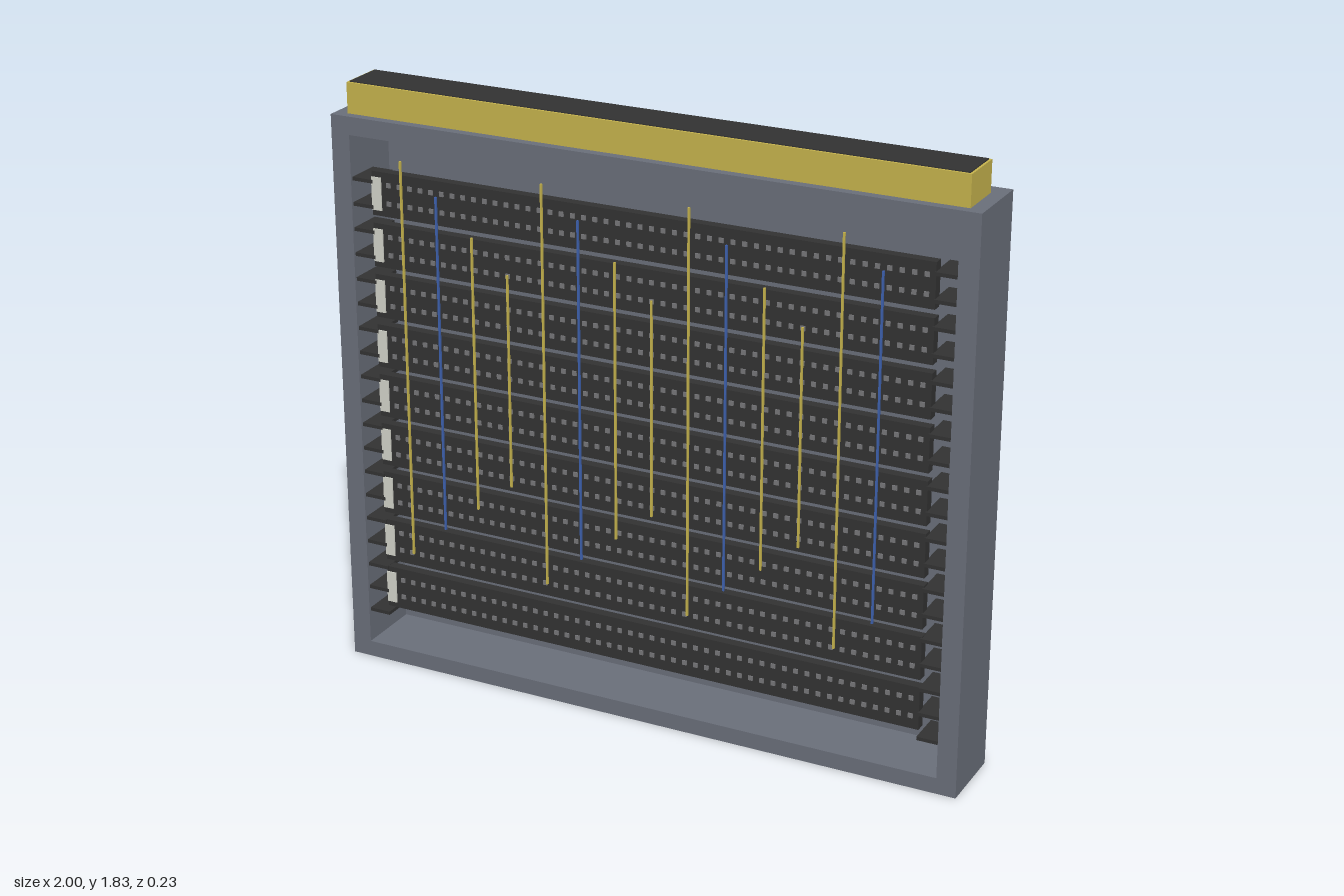
import * as THREE from 'three';
import { mergeGeometries } from 'three/addons/utils/BufferGeometryUtils.js';

const material = (name, color) => new THREE.MeshStandardMaterial({ name, color });

// Box geometry given by its minimum and maximum corners
function span(x0, x1, y0, y1, z0, z1) {
  return new THREE.BoxGeometry(x1 - x0, y1 - y0, z1 - z0)
    .translate((x0 + x1) / 2, (y0 + y1) / 2, (z0 + z1) / 2);
}

export function createModel() {
  const steel = material('steel grey', 0x6b707b);
  const black = material('card black', 0x333333);
  const gold = material('gold', 0xc8b54e);
  const pinGrey = material('pin grey', 0x77777a);
  const white = material('label white', 0xd4d6cc);
  const blue = material('wire blue', 0x3f62b0);

  const model = new THREE.Group();
  model.name = 'cardRack';
  const add = (name, geometry, mat, parent = model) => {
    const mesh = new THREE.Mesh(geometry, mat);
    mesh.name = name;
    parent.add(mesh);
    return mesh;
  };

  const back = -0.116, front = 0.113;

  // Outer frame with a rectangular opening
  const outline = new THREE.Shape([
    new THREE.Vector2(-1, 0), new THREE.Vector2(1, 0),
    new THREE.Vector2(1, 1.735), new THREE.Vector2(-1, 1.735),
  ]);
  outline.holes.push(new THREE.Path([
    new THREE.Vector2(-0.94, 0.05), new THREE.Vector2(-0.94, 1.68),
    new THREE.Vector2(0.94, 1.68), new THREE.Vector2(0.94, 0.05),
  ]));
  const frame = new THREE.ExtrudeGeometry(outline, { depth: front - back, bevelEnabled: false });
  add('frame', frame.translate(0, 0, back), steel);
  add('backPanel', span(-0.94, 0.94, 0.05, 1.68, back, -0.095), steel);

  // Top connector bar with a dark inset
  add('connectorBar', span(-0.96, 0.957, 1.735, 1.828, -0.062, 0.085), gold);
  add('connectorInset', span(-0.953, 0.95, 1.826, 1.831, -0.056, 0.078), black);

  // Guide rails on both sides
  const rails = [];
  for (let i = 0; i < 19; i++) {
    const y = 0.157 + i * 0.0772;
    for (const s of [-1, 1]) {
      rails.push(new THREE.BoxGeometry(0.07, 0.011, 0.11).translate(s * 0.907, y, 0.05));
    }
  }
  add('guideRails', mergeGeometries(rails), black);

  // Nine cards, each with a label and two rows of pins
  const columns = 48;
  for (let i = 0; i < 9; i++) {
    const card = new THREE.Group();
    card.name = `card${i + 1}`;
    card.position.y = 0.249 + i * 0.1578;
    model.add(card);
    add('board', span(-0.877, 0.875, -0.067, 0.067, 0.07, 0.1), black, card);
    add('label', span(-0.877, -0.845, -0.05, 0.05, 0.1, 0.104), white, card);
    const pins = [];
    for (let c = 0; c < columns; c++) {
      const x = -0.82 + c * (1.67 / (columns - 1));
      for (const y of [-0.026, 0.03]) {
        pins.push(new THREE.BoxGeometry(0.014, 0.014, 0.005).translate(x, y, 0.1015));
      }
    }
    add('pins', mergeGeometries(pins), pinGrey, card);
  }

  // Vertical wires in four repeating lengths
  const ends = [[0.385, 1.625], [0.49, 1.535], [0.58, 1.43], [0.675, 1.335]];
  for (let i = 0; i < 14; i++) {
    const x = -0.77 + i * 0.1154;
    const [y0, y1] = ends[i % 4];
    add(`wire${i + 1}`, span(x - 0.003, x + 0.003, y0, y1, 0.111, 0.117), i % 4 === 1 ? blue : gold);
  }

  return model;
}
